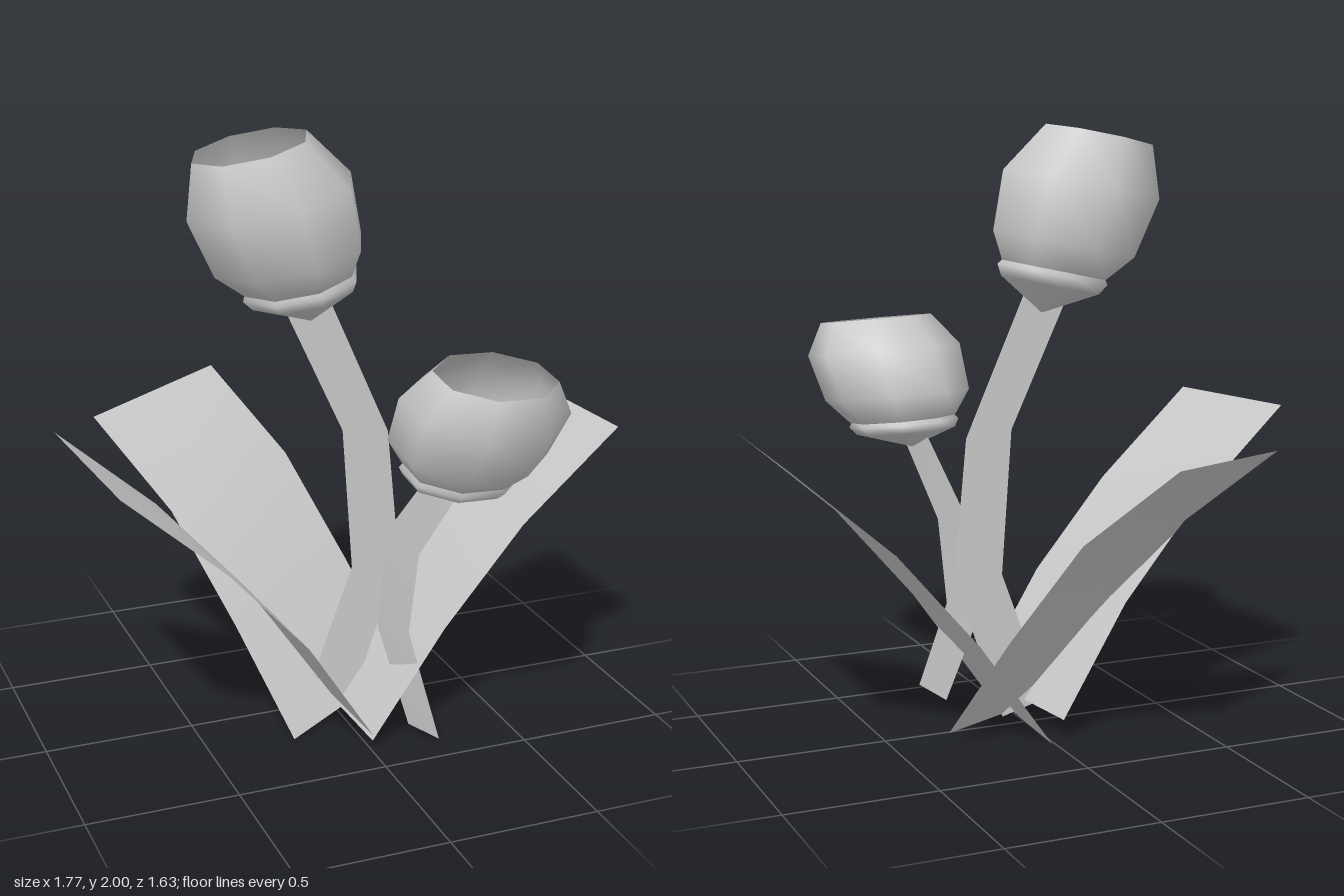
import * as THREE from 'three';

const material = new THREE.MeshStandardMaterial({ color: 0xcccccc, side: THREE.DoubleSide });
const SIDES = 8;

function mesh(name, points, index) {
  const geometry = new THREE.BufferGeometry();
  geometry.setAttribute('position', new THREE.Float32BufferAttribute(points.flat(), 3));
  geometry.setIndex(index);
  geometry.computeVertexNormals();
  const m = new THREE.Mesh(geometry, material);
  m.name = name;
  return m;
}

// Flat strip between two edges given as matching lists of points
function ribbon(name, edgeA, edgeB) {
  const index = [];
  for (let i = 0; i < edgeA.length - 1; i++) {
    const k = i * 2;
    index.push(k, k + 1, k + 2, k + 1, k + 3, k + 2);
  }
  return mesh(name, edgeA.flatMap((p, i) => [p, edgeB[i]]), index);
}

// Strip of constant width: one edge plus a width vector
function leaf(name, edge, width) {
  return ribbon(name, edge, edge.map((p) => p.map((v, i) => v + width[i])));
}

// Octagonal shell; each ring is [height, sideways shift, radius]
function shell(name, rings, phase) {
  const points = [], index = [];
  rings.forEach(([y, shift, r], i) => {
    for (let j = 0; j < SIDES; j++) {
      const t = phase + (j / SIDES) * Math.PI * 2;
      points.push([shift + r * Math.cos(t), y, r * Math.sin(t)]);
      if (i === 0) continue;
      const a = (i - 1) * SIDES + j, b = (i - 1) * SIDES + ((j + 1) % SIDES);
      index.push(a, b, a + SIDES, b, b + SIDES, a + SIDES);
    }
  });
  return mesh(name, points, index);
}

// Open cup with a pointed calyx, placed by the centre of its rim
function flower(name, cup, calyx, position, yaw, lean, phase) {
  const g = new THREE.Group();
  g.name = name;
  g.add(shell('petalCup', cup, phase), shell('calyx', calyx, phase));
  g.position.set(...position);
  g.rotation.set(0, THREE.MathUtils.degToRad(yaw), THREE.MathUtils.degToRad(lean), 'YXZ');
  return g;
}

export function createModel() {
  const model = new THREE.Group();
  model.name = 'tulips';

  // Three broad leaves spreading from the base
  model.add(
    leaf('leftLeaf',
      [[0.01, 0, -0.25], [0.265, 0.36, -0.254], [0.545, 0.685, -0.26], [0.885, 0.98, -0.266]],
      [0, 0.025, 0.615]),
    leaf('rightLeaf',
      [[-0.04, 0.07, -0.23], [-0.275, 0.435, -0.205], [-0.55, 0.745, -0.175], [-0.89, 1.05, -0.147]],
      [0.047, -0.02, 0.617]),
    leaf('backLeaf',
      [[0.315, 0.035, -0.105], [0.185, 0.38, -0.31], [0.04, 0.73, -0.54], [-0.145, 1.0, -0.817]],
      [-0.527, -0.033, 0.326]),
  );

  // Flat stems, ending inside the cups
  model.add(
    ribbon('tallStem',
      [[-0.1, 0.06, 0.04], [0.065, 0.51, 0.04], [0.03, 1.0, 0.04], [-0.2, 1.5, 0.035]],
      [[0.06, 0.01, 0.05], [0.235, 0.51, 0.045], [0.19, 0.98, 0.045], [-0.06, 1.55, 0.04]]),
    ribbon('shortStem',
      [[0.175, 0.015, 0.28], [0.12, 0.32, 0.14], [0.135, 0.67, 0.165], [0.235, 1.04, 0.43]],
      [[0.215, 0.03, 0.44], [0.165, 0.36, 0.295], [0.18, 0.65, 0.335], [0.26, 0.98, 0.535]]),
  );

  // Tall flower leaning to the side
  model.add(flower('tallFlower',
    [[0, 0, 0.192], [-0.17, 0.03, 0.278], [-0.37, 0.05, 0.252], [-0.46, 0.066, 0.185], [-0.49, 0.07, 0.15]],
    [[-0.44, 0.066, 0.17], [-0.475, 0.068, 0.197], [-0.51, 0.07, 0.175], [-0.605, 0.078, 0]],
    [-0.28, 1.96, 0.038], 0, 12, 0));

  // Short flower leaning forward
  model.add(flower('shortFlower',
    [[0, 0, 0.193], [-0.11, 0.03, 0.265], [-0.27, 0.083, 0.25], [-0.35, 0.102, 0.185], [-0.375, 0.108, 0.15]],
    [[-0.34, 0.1, 0.17], [-0.368, 0.106, 0.19], [-0.395, 0.115, 0.17], [-0.45, 0.14, 0]],
    [0.3, 1.322, 0.612], 108, 7.4, THREE.MathUtils.degToRad(40.5)));

  return model;
}
